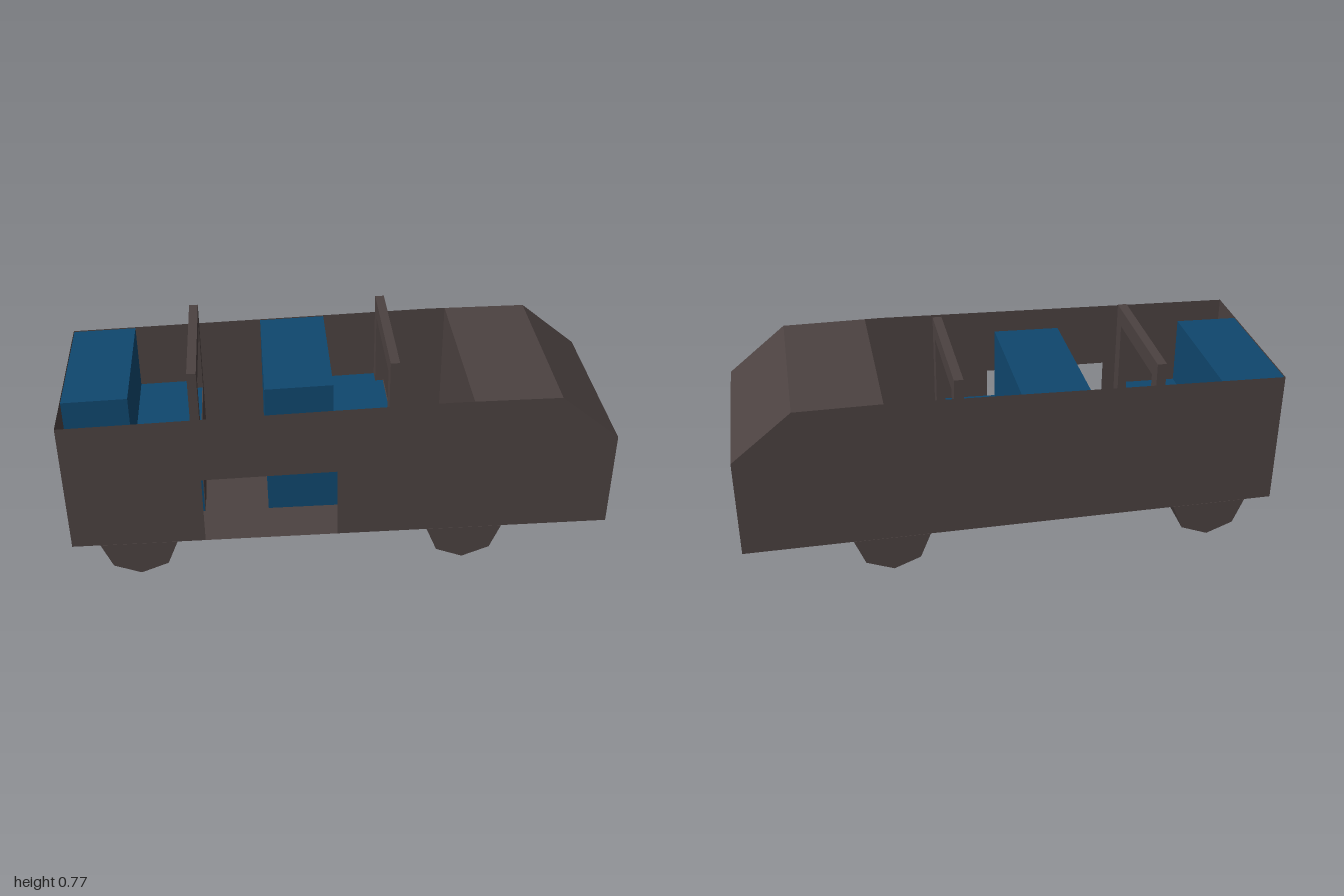
import * as THREE from 'three';

const W = 0.347;         // half width of the body
const SEAT_Z = 0.174;    // aisle-side end of seats and hoops

const bodyPaint = new THREE.MeshStandardMaterial({ color: 0x4c4241, side: THREE.DoubleSide });
bodyPaint.name = 'brownBody';
const seatBlue = new THREE.MeshStandardMaterial({ color: 0x0f476e });
seatBlue.name = 'blueSeat';

// height of the gently rising top edge of the side walls
const rim = (x) => Math.min(0.7, 0.66 + 0.0286 * (x + 1));

function polygon(points) {
  return new THREE.Shape(points.map(([x, y]) => new THREE.Vector2(x, y)));
}

function add(parent, name, geometry, material) {
  const mesh = new THREE.Mesh(geometry, material);
  mesh.name = name;
  parent.add(mesh);
  return mesh;
}

// side profile extruded across the vehicle from z0 to z1
function prism(points, z0, z1) {
  const g = new THREE.ExtrudeGeometry(polygon(points), { depth: z1 - z0, bevelEnabled: false });
  return g.translate(0, 0, z0);
}

function box(x0, x1, y0, y1, z0, z1) {
  const g = new THREE.BoxGeometry(x1 - x0, y1 - y0, z1 - z0);
  return g.translate((x0 + x1) / 2, (y0 + y1) / 2, (z0 + z1) / 2);
}

// thin sheet following a side profile across the full width
function sheet(path) {
  const pos = [];
  for (let i = 0; i + 1 < path.length; i++) {
    const [ax, ay] = path[i], [bx, by] = path[i + 1];
    pos.push(ax, ay, W, bx, by, W, bx, by, -W, ax, ay, W, bx, by, -W, ax, ay, -W);
  }
  const g = new THREE.BufferGeometry();
  g.setAttribute('position', new THREE.Float32BufferAttribute(pos, 3));
  g.computeVertexNormals();
  return g;
}

export function createModel() {
  const model = new THREE.Group();
  model.name = 'openTopBus';

  // side walls, with a doorway on the front side only
  const upper = [[1, 0.14], [1, 0.52], [0.78, 0.7], [0.4, 0.7], [-1, 0.66], [-1, 0.14]];
  const door = [[-0.51, 0.14], [-0.51, 0.415], [-0.02, 0.425], [-0.02, 0.14]];
  add(model, 'doorSideWall', new THREE.ShapeGeometry(polygon([...upper, ...door])), bodyPaint)
    .position.z = W;
  // mirrored so that it faces outwards
  const farWall = add(model, 'closedSideWall',
    new THREE.ShapeGeometry(polygon(upper.map(([x, y]) => [-x, y]))), bodyPaint);
  farWall.rotation.y = Math.PI;
  farWall.position.z = -W;

  // tail, floor, nose, windscreen slope, roof and bulkhead
  add(model, 'tailPanel', sheet([[-1, 0.66], [-1, 0.14]]), bodyPaint);
  add(model, 'floor', sheet([[-1, 0.14], [1, 0.14]]), bodyPaint);
  add(model, 'cabShell', sheet([[1, 0.14], [1, 0.52], [0.78, 0.7], [0.465, 0.7]]), bodyPaint);
  add(model, 'cabBulkhead', sheet([[0.465, 0.7], [0.465, 0.14]]), bodyPaint);

  // faceted wheels spanning the full width
  for (const [name, x] of [['rearWheels', -0.757], ['frontWheels', 0.457]]) {
    add(model, name, prism([[x - 0.14, 0.139], [x - 0.1, 0.04], [x, 0], [x + 0.103, 0.04],
      [x + 0.143, 0.139]], -W, W), bodyPaint);
  }

  // seats, each with a front panel and a hoop rail
  const back = -W + 0.002;
  const seats = [['rear', -0.998, -0.76, -0.513, 0.69, 0.757], ['middle', -0.27, -0.02, 0.217, 0.7, 0.766]];
  for (const [name, x0, x1, x2, barLow, barTop] of seats) {
    const row = new THREE.Group();
    row.name = name + 'SeatRow';
    model.add(row);
    add(row, 'seat', prism([[x0, 0.142], [x2, 0.142], [x2, 0.412], [x1, 0.405],
      [x1, rim(x1) - 0.003], [x0, rim(x0) - 0.003]], back, SEAT_Z), seatBlue);
    add(row, 'seatFrontPanel', box(x2, x2 + 0.003, 0.142, 0.413, back, SEAT_Z), bodyPaint);
    const r0 = x2 - 0.031, r1 = x2 + 0.003;
    add(row, 'hoopRail', box(r0, r1, barLow, barTop, back, SEAT_Z), bodyPaint);
    for (const z of [back, SEAT_Z - 0.057]) {
      add(row, 'hoopPost', box(r0, r1, 0.405, barLow, z, z + 0.057), bodyPaint);
    }
  }
  return model;
}
